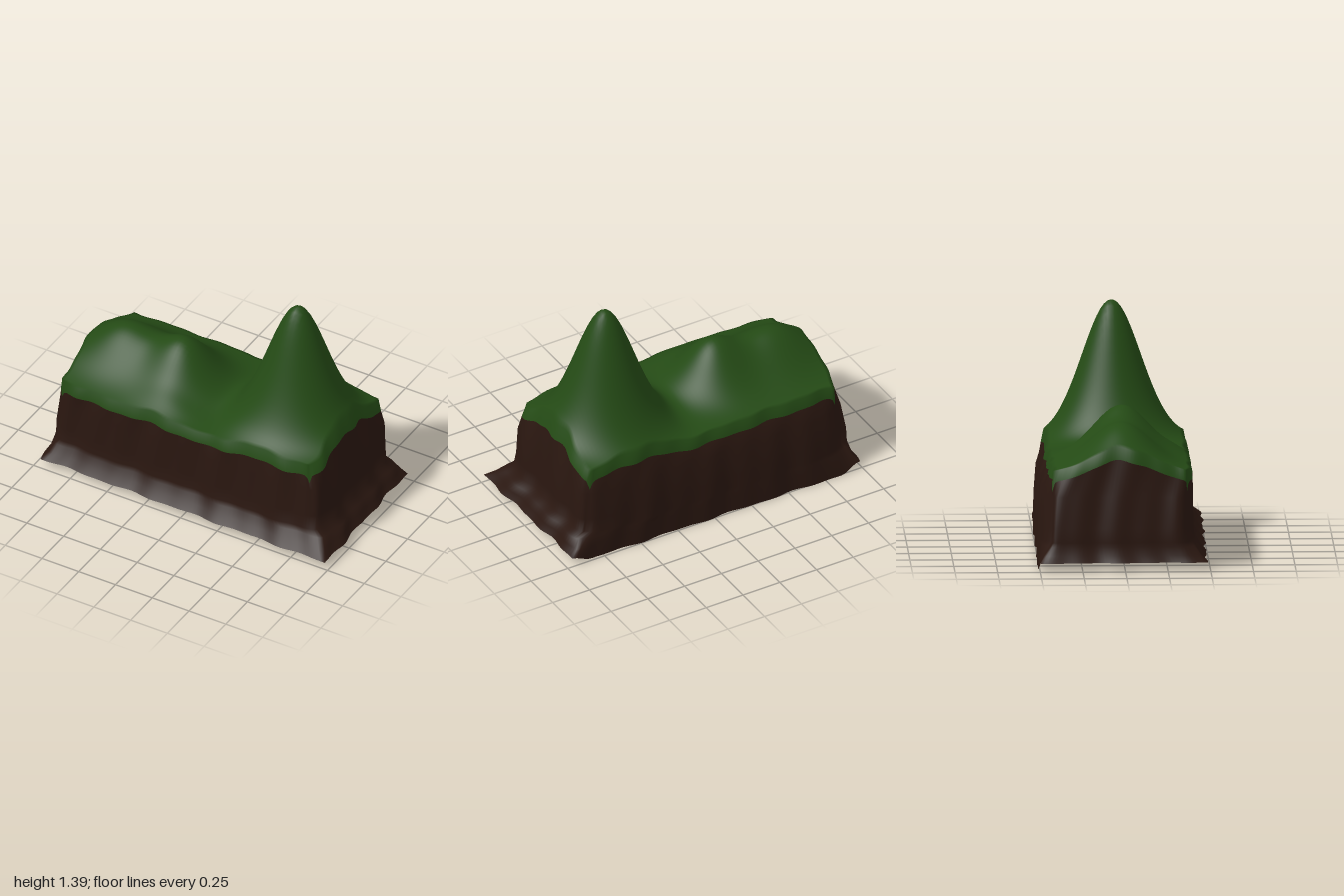
import * as THREE from 'three';
import { mergeGeometries, mergeVertices } from 'three/addons/utils/BufferGeometryUtils.js';

const NX = 72, NZ = 40;

// Horizontal extents of the block at each level, from the turf rim to the flared foot.
// inX, inFront and inBack pull the corners in, rounding the block between rim and foot;
// skew turns the outline slightly.
const LEVELS = [
  { x0: -0.89, x1: 0.812, z0: -0.425, z1: 0.385, inX: 0.02, inFront: 0.03, inBack: 0.005, skew: -0.005 }, // turf rim
  { x0: -0.905, x1: 0.838, z0: -0.44, z1: 0.4, inX: 0.035, inFront: 0.04, inBack: 0.015, skew: -0.004 },  // turf meets soil
  { y: 0.43, x0: -0.92, x1: 0.867, z0: -0.475, z1: 0.405, inX: 0.045, inFront: 0.04, inBack: 0.05, skew: 0 },
  { y: 0.25, x0: -0.948, x1: 0.872, z0: -0.49, z1: 0.407, inX: 0.045, inFront: 0.035, inBack: 0.065, skew: 0.003 },
  { y: 0.165, x0: -0.948, x1: 0.878, z0: -0.492, z1: 0.413, inX: 0.04, inFront: 0.03, inBack: 0.065, skew: 0.005 },
  { y: 0.14, x0: -0.95, x1: 0.925, z0: -0.493, z1: 0.425, inX: 0.03, inFront: 0.02, inBack: 0.05, skew: 0.006 },
  { y: 0.09, x0: -0.958, x1: 0.945, z0: -0.494, z1: 0.455, inX: 0.015, inFront: 0.01, inBack: 0.02, skew: 0.01 },
  { y: 0.05, x0: -0.98, x1: 0.972, z0: -0.495, z1: 0.49, inX: 0, inFront: 0, inBack: 0, skew: 0.013 },    // open foot
];

const bump = (x, z, cx, cz, sx, sz) =>
  Math.exp(-((x - cx) ** 2) / (2 * sx * sx) - ((z - cz) ** 2) / (2 * sz * sz));

// Terrain height: steep peak, two joined hills, a valley between, gentle ripples
function height(x, z) {
  return 0.6 - 0.17 * z * z
    + 0.79 * bump(x, z, 0.48, -0.04, 0.173, 0.17)
    + 0.25 * bump(x, z, -0.26, 0, 0.14, 0.16)
    + 0.225 * bump(x, z, -0.66, -0.02, 0.2, 0.17)
    - 0.035 * bump(x, z, 0.1, -0.02, 0.08, 0.2)
    + 0.02 * bump(x, z, -0.2, 0.3, 0.12, 0.06)
    + 0.004 * Math.sin(9 * x + 2) * Math.cos(11 * z);
}

const wave = (t, phase) => 0.006 * Math.sin(t * 15 + phase) + 0.004 * Math.sin(t * 27 + 2 * phase);

// Point for u, v in -1..1 at a level, with wavy edges
function place(u, v, k) {
  const L = LEVELS[k];
  let x = THREE.MathUtils.lerp(L.x0, L.x1, (u + 1) / 2) + L.skew * v;
  let z = THREE.MathUtils.lerp(L.z0, L.z1, (v + 1) / 2) + L.skew * u;
  const phase = k < 2 ? 0.7 : 2.1;
  x += u ** 9 * (wave(v * 0.55, phase + u) * 1.2 - L.inX * v ** 8);
  z += v ** 9 * (wave(u, phase + 2 * v) - (v > 0 ? L.inFront : L.inBack) * u ** 8);
  let y = L.y;
  if (k < 2) {
    y = height(x, z);
    if (k === 1) y -= 0.063 + 0.06 * Math.abs(u * v) ** 40; // turf hangs lower at the corners
  } else if (k === LEVELS.length - 1 && v === -1) {
    // back wall reaches lower than the other three
    y -= 0.05 * THREE.MathUtils.smoothstep(1 - Math.abs(u), 0, 0.14);
  }
  return new THREE.Vector3(x, y, z);
}

// Closed walk round the block: front, +x side, back, -x side
function perimeter() {
  const ring = [];
  for (let i = 0; i < NX; i++) ring.push([-1 + 2 * i / NX, 1]);
  for (let i = 0; i < NZ; i++) ring.push([1, 1 - 2 * i / NZ]);
  for (let i = 0; i < NX; i++) ring.push([1 - 2 * i / NX, -1]);
  for (let i = 0; i <= NZ; i++) ring.push([-1, -1 + 2 * i / NZ]);
  return ring;
}

// Surface through rows of points
function surface(rows) {
  const n = rows[0].length, index = [];
  for (let i = 0; i < rows.length - 1; i++) {
    for (let j = 0; j < n - 1; j++) {
      const a = i * n + j, b = a + n;
      index.push(a, b, a + 1, a + 1, b, b + 1);
    }
  }
  const geometry = new THREE.BufferGeometry().setFromPoints(rows.flat());
  geometry.setIndex(index);
  return geometry;
}

function smooth(geometry) {
  const welded = mergeVertices(geometry, 1e-4);
  welded.computeVertexNormals();
  return welded;
}

export function createModel() {
  const group = new THREE.Group();
  group.name = 'terrainBlock';
  const ring = perimeter();
  const wall = (k) => ring.map(([u, v]) => place(u, v, k));

  const add = (name, geometry, color) => {
    const material = new THREE.MeshStandardMaterial({ color, side: THREE.DoubleSide });
    const mesh = new THREE.Mesh(geometry, material);
    mesh.name = name;
    group.add(mesh);
  };

  // Turf: hilly top plus the skirt folded over the rim
  const topRows = [];
  for (let i = 0; i <= NZ; i++) {
    const row = [];
    for (let j = 0; j <= NX; j++) row.push(place(-1 + 2 * j / NX, -1 + 2 * i / NZ, 0));
    topRows.push(row);
  }
  const turf = mergeGeometries([surface(topRows), surface([wall(0), wall(1)])]);
  add('grass', smooth(turf), 0x244a15);

  // Soil: hollow walls flaring out at the foot
  const soilRows = LEVELS.slice(1).map((_, k) => wall(k + 1));
  add('soil', smooth(surface(soilRows)), 0x2a1710);

  return group;
}
